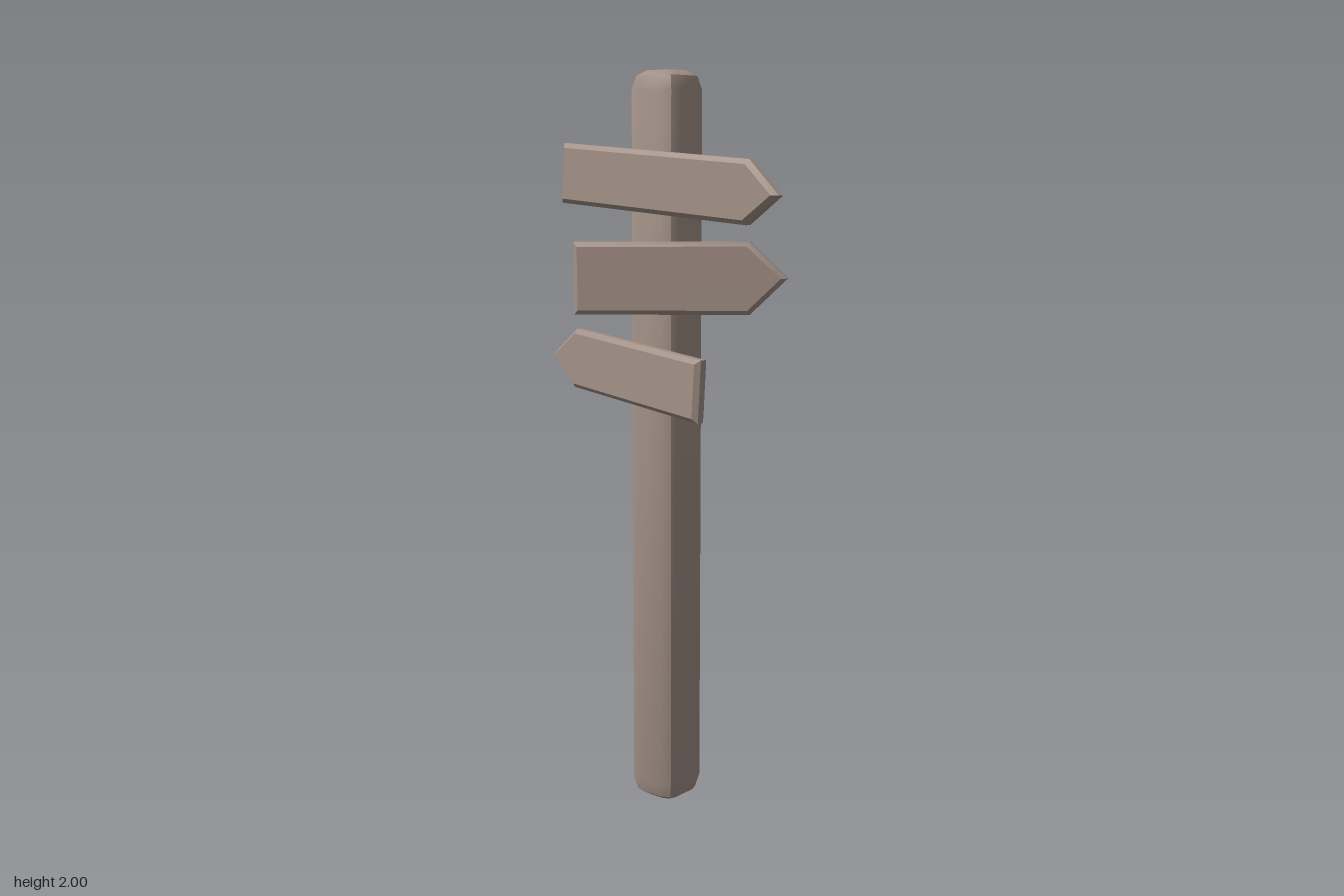
import * as THREE from 'three';
import { toCreasedNormals } from 'three/addons/utils/BufferGeometryUtils.js';

const wood = new THREE.MeshStandardMaterial({ color: 0xa39187 });

// Square post with bulged sides: stacked twelve-sided rings, capped at both ends
function postGeometry() {
  const quarter = [[0.078, -0.036], [0.078, 0.036], [0.067, 0.065]];
  const rings = [[0, 0.58], [0.014, 0.87], [0.05, 1], [1.95, 1], [1.986, 0.87], [2, 0.58]];
  const outline = [];
  for (let k = 0; k < 4; k++) {
    const c = Math.round(Math.cos(k * Math.PI / 2)), s = Math.round(Math.sin(k * Math.PI / 2));
    for (const [x, z] of quarter) outline.push([x * c - z * s, x * s + z * c]);
  }
  const n = outline.length, pos = [], idx = [];
  for (const [y, f] of rings) for (const [x, z] of outline) pos.push(x * f, y, z * f);
  for (let r = 0; r < rings.length - 1; r++) {
    for (let i = 0; i < n; i++) {
      const a = r * n + i, b = r * n + (i + 1) % n;
      idx.push(a, a + n, b, b, a + n, b + n);
    }
  }
  const top = (rings.length - 1) * n;
  for (let i = 1; i < n - 1; i++) {
    idx.push(0, i, i + 1);
    idx.push(top, top + i + 1, top + i);
  }
  const g = new THREE.BufferGeometry();
  g.setAttribute('position', new THREE.Float32BufferAttribute(pos, 3));
  g.setIndex(idx);
  return toCreasedNormals(g, 0.65);
}

// Arrow board with chamfered edges, centred on its own middle; dir is +1 or -1 along x
function boardGeometry(length, height, tip, dir) {
  const l = length / 2, h = height / 2, thickness = 0.04, bevel = 0.012;
  const shape = new THREE.Shape([
    [-l, -h], [l - tip, -h], [l, 0], [l - tip, h], [-l, h],
  ].map(([x, y]) => new THREE.Vector2(x * dir, y)));
  const g = new THREE.ExtrudeGeometry(shape, {
    depth: thickness - 2 * bevel, bevelEnabled: true, bevelSegments: 1,
    bevelSize: bevel, bevelThickness: bevel, bevelOffset: -bevel,
  });
  g.translate(0, 0, bevel - thickness / 2);
  return toCreasedNormals(g, 0.6);
}

export function createModel() {
  const group = new THREE.Group();
  group.name = 'signpost';

  const post = new THREE.Mesh(postGeometry(), wood);
  post.name = 'post';
  post.position.set(-0.053, 0, -0.066);
  group.add(post);

  // Boards, each tilted in its own plane and then turned about the post
  const boards = [
    { name: 'topBoard', size: [0.765, 0.16, 0.1, 1], at: [0.043, 1.71, 0.053], yaw: -0.085, tilt: -0.062 },
    { name: 'middleBoard', size: [0.565, 0.19, 0.1, 1], at: [0.045, 1.465, 0], yaw: 0.53, tilt: 0.01 },
    { name: 'bottomBoard', size: [0.635, 0.165, 0.1, -1], at: [-0.118, 1.21, 0.029], yaw: -0.21, tilt: -0.068 },
  ];
  for (const { name, size, at, yaw, tilt } of boards) {
    const board = new THREE.Mesh(boardGeometry(...size), wood);
    board.name = name;
    board.position.set(...at);
    board.rotation.set(0, yaw, tilt);
    group.add(board);
  }
  return group;
}
